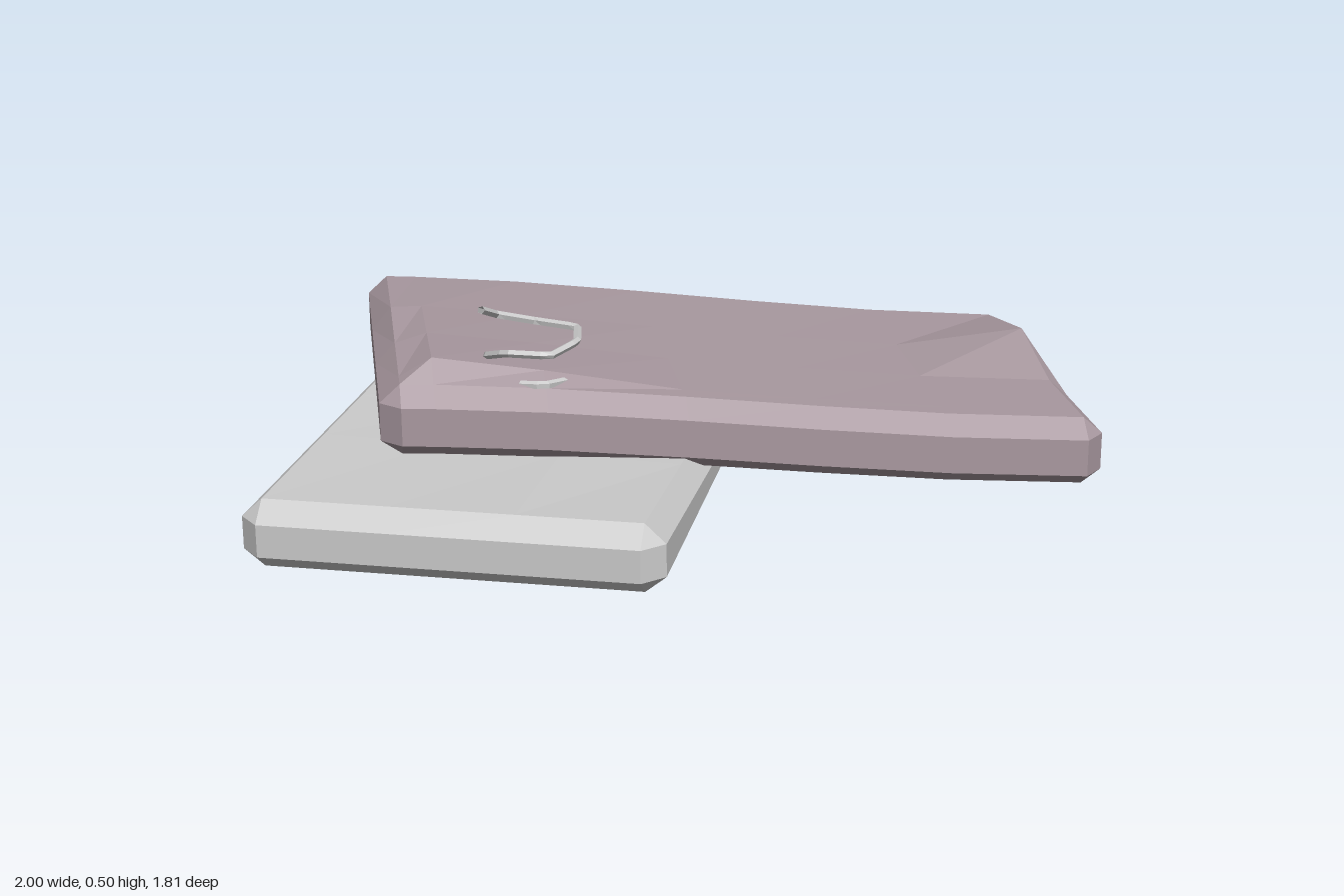
import * as THREE from 'three';

const BEVEL = 0.05;

// Bevelled slab over a grid of u (x) and v (z) lines; height(u, v, layer) gives y for layers 0..3
function slabGeometry(us, vs, height) {
  const positions = [];
  const tri = (...pts) => pts.forEach(p => positions.push(...p));
  const quad = (a, b, c, d) => { tri(a, b, c); tri(a, c, d); };
  const rev = list => [...list].reverse();
  const uEnd = us[us.length - 1], vEnd = vs[vs.length - 1];

  // Outline points with their outward direction: front, right, back, left
  const outline = [
    ...us.map(u => [u, vEnd, 0, 1]),
    ...rev(vs).map(v => [uEnd, v, 1, 0]),
    ...rev(us).map(u => [u, vs[0], 0, -1]),
    ...vs.map(v => [us[0], v, -1, 0]),
  ];
  const rings = [0, BEVEL, BEVEL, 0].map((out, layer) =>
    outline.map(([u, v, nu, nv]) => [u + nu * out, height(u, v, layer), v + nv * out]));
  const n = outline.length;
  for (let k = 0; k < 3; k++) {
    for (let i = 0; i < n; i++) {
      const j = (i + 1) % n;
      quad(rings[k][i], rings[k][j], rings[k + 1][j], rings[k + 1][i]);
    }
  }

  // Top and bottom panels
  for (let i = 0; i < us.length - 1; i++) {
    for (let j = 0; j < vs.length - 1; j++) {
      const corners = layer => [[i, j + 1], [i + 1, j + 1], [i + 1, j], [i, j]]
        .map(([a, b]) => [us[a], height(us[a], vs[b], layer), vs[b]]);
      quad(...corners(3));
      quad(...rev(corners(0)));
    }
  }
  const geometry = new THREE.BufferGeometry();
  geometry.setAttribute('position', new THREE.Float32BufferAttribute(positions, 3));
  geometry.computeVertexNormals();
  return geometry;
}

// Peak that falls linearly to zero over separate distances below and above its centre
const slope = (d, below, above) => Math.max(0, 1 - (d < 0 ? -d / below : d / above));

function mesh(name, geometry, color) {
  const material = new THREE.MeshStandardMaterial({ color, flatShading: true });
  const m = new THREE.Mesh(geometry, material);
  m.name = name;
  return m;
}

export function createModel() {
  const group = new THREE.Group();
  group.name = 'mattressPile';

  // Lower mattress, lying flat and pressed in a little under the other
  const lowerLevels = [0.005, 0.045, 0.125, 0.172];
  const lower = mesh('lowerMattress', slabGeometry(
    [-0.45, -0.15, 0.15, 0.45],
    [-0.85, -0.5, -0.2, 0.1, 0.4, 0.85],
    (u, v, layer) => {
      const dent = 0.045 * slope(v, 0.85, 0.85) * (0.5 + u);
      return lowerLevels[layer] - (layer > 1 ? dent : 0);
    }), 0xcccccc);
  lower.position.x = -0.45;
  group.add(lower);

  // Upper mattress, draped from the lower one to the ground, with puckered cover
  const upperLevels = [0, 0.035, 0.13, 0.175];
  const upper = mesh('upperMattress', slabGeometry(
    [-0.85, -0.77, -0.5, -0.16, 0.17, 0.5, 0.85],
    [-0.45, -0.12, 0.15, 0.395, 0.45],
    (u, v, layer) => {
      const t = (0.9 - u) / 1.8;
      const drape = 0.5 * t + 0.5 * t * t * (3 - 2 * t);
      let y = 0.005 + (0.19 - 0.016 * v) * drape + upperLevels[layer];
      if (layer === 3) {
        y += 0.05 * slope(u + 0.77, 0.08, 0.6) * slope(v - 0.395, 0.6, 0.055);
        y += 0.06 * slope(u - 0.85, 0.34, 0.34) * slope(v + 0.12, 0.33, 0.27);
        y += 0.015 * slope(u + 0.85, 0.1, 0.5) * slope(v + 0.12, 0.33, 0.4);
      }
      return y;
    }), 0xa8989f);
  upper.position.z = -0.165;
  upper.rotation.y = 0.332;
  group.add(upper);

  // Loose spring poking out of the upper mattress, bent from straight pieces of wire
  const points = [
    [-0.5, 0.5, 0.36], [-0.49, 0.46, 0.26], [-0.41, 0.43, 0.2], [-0.29, 0.43, 0.235],
    [-0.265, 0.43, 0.35], [-0.31, 0.42, 0.44], [-0.42, 0.42, 0.44], [-0.495, 0.385, 0.36],
    [-0.47, 0.36, 0.28], [-0.41, 0.335, 0.24], [-0.31, 0.325, 0.25], [-0.275, 0.33, 0.34],
    [-0.33, 0.34, 0.43], [-0.45, 0.335, 0.42],
  ].map(p => new THREE.Vector3(...p));
  const wire = new THREE.CurvePath();
  for (let i = 1; i < points.length; i++) wire.add(new THREE.LineCurve3(points[i - 1], points[i]));
  const spring = mesh('spring', new THREE.TubeGeometry(wire, 52, 0.01, 5), 0xcccccc);
  spring.material.side = THREE.DoubleSide;
  group.add(spring);

  return group;
}
